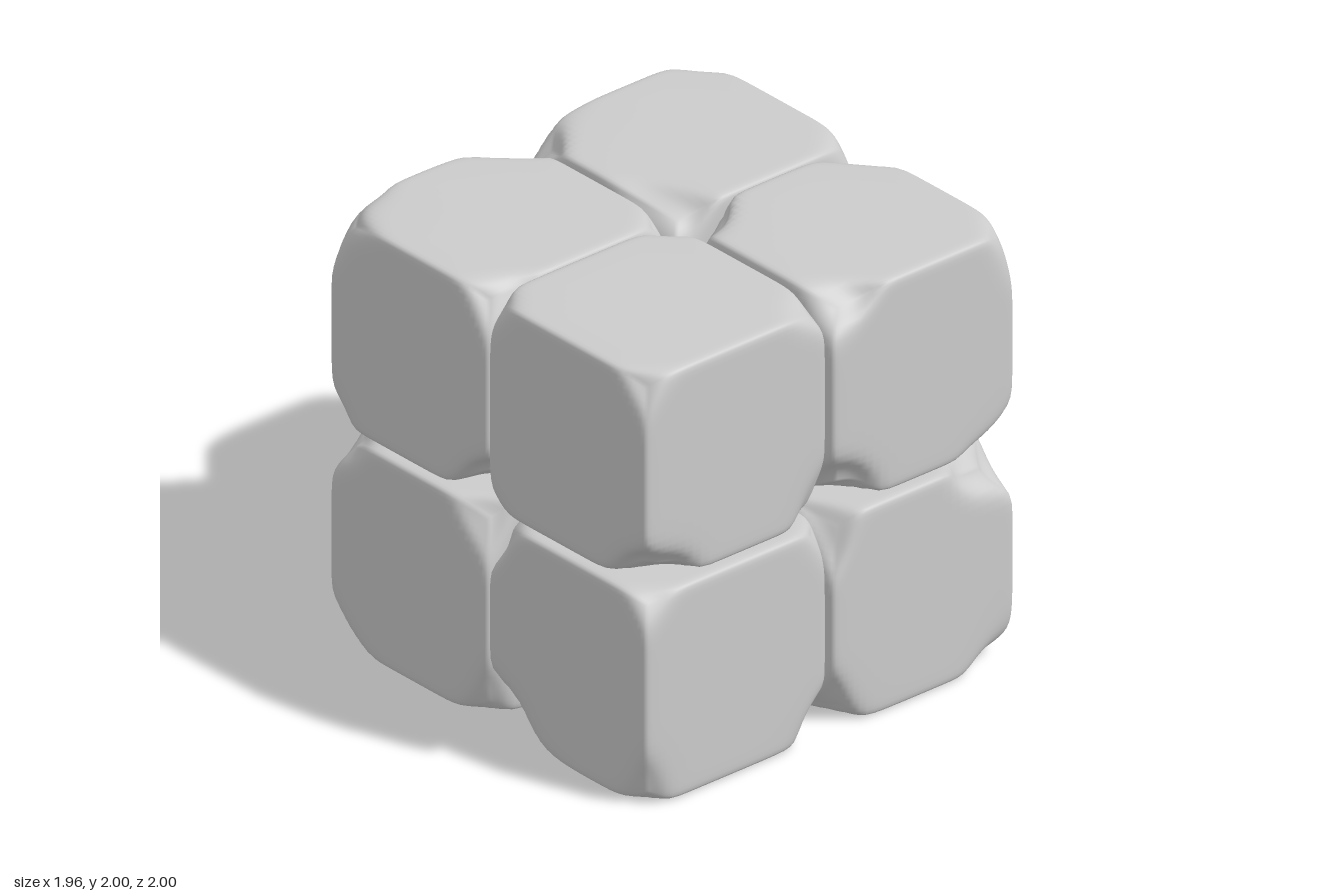
import * as THREE from 'three';
import { mergeVertices } from 'three/addons/utils/BufferGeometryUtils.js';

const HALF = new THREE.Vector3(0.491, 0.4915, 0.4925);
const SIGNS = [-1, 1];
const SHARPNESS = 40; // higher gives tighter edges

function seeded(seed) {
  let s = seed;
  return () => (s = (s * 16807) % 2147483647) / 2147483647;
}

// Rounded block whose corners are worn away by tilted, wavy cuts
function wornBlock(seed) {
  const rand = seeded(seed);
  for (let i = 0; i < 5; i++) rand();
  const cuts = [];
  for (const x of SIGNS) for (const y of SIGNS) for (const z of SIGNS) {
    const w = [0, 1, 2].map(() => 0.75 + 0.5 * rand());
    cuts.push({
      normal: new THREE.Vector3(x * w[0], y * w[1], z * w[2]),
      reach: w[0] + w[1] + w[2],
      depth: 0.28 + 0.36 * rand(),
      phase: rand() * 6.28,
    });
  }

  let geometry = new THREE.BoxGeometry(2, 2, 2, 28, 28, 28);
  geometry.deleteAttribute('uv');
  geometry.deleteAttribute('normal');
  geometry = mergeVertices(geometry);

  // Crowd the grid towards the edges, then pull each point onto the blended planes
  const crowd = (u) => 0.4 * u + 0.6 * Math.sin((u * Math.PI) / 2);
  const pos = geometry.attributes.position;
  const p = new THREE.Vector3();
  for (let i = 0; i < pos.count; i++) {
    p.fromBufferAttribute(pos, i);
    p.set(crowd(p.x), crowd(p.y), crowd(p.z));
    let sum = 0;
    for (const c of [p.x, p.y, p.z]) sum += Math.abs(c) ** SHARPNESS;
    for (const { normal, reach, depth, phase } of cuts) {
      const d = normal.dot(p);
      if (d <= 0) continue;
      const wave = Math.sin(5 * p.x + phase) * Math.sin(6 * p.y + 2 * phase) + Math.sin(7 * p.z + 3 * phase);
      sum += (d / (reach - depth * (1 + 0.13 * wave))) ** SHARPNESS;
    }
    p.multiplyScalar(sum ** (-1 / SHARPNESS)).multiply(HALF);
    pos.setXYZ(i, p.x, p.y, p.z);
  }
  geometry.computeVertexNormals();
  return geometry;
}

export function createModel() {
  const model = new THREE.Group();
  model.name = 'stoneBlockCluster';
  const stone = new THREE.MeshStandardMaterial({ color: 0xcccccc });

  // Two by two by two stack of separate blocks
  let seed = 1234;
  for (const y of SIGNS) for (const z of SIGNS) for (const x of SIGNS) {
    const block = new THREE.Mesh(wornBlock(seed), stone);
    block.name = `${y > 0 ? 'upper' : 'lower'}${z > 0 ? 'Front' : 'Back'}${x > 0 ? 'Left' : 'Right'}Block`;
    block.position.set(x * 0.491, 1 + y * 0.5085, z * 0.5075);
    model.add(block);
    seed += 7919;
  }
  return model;
}
